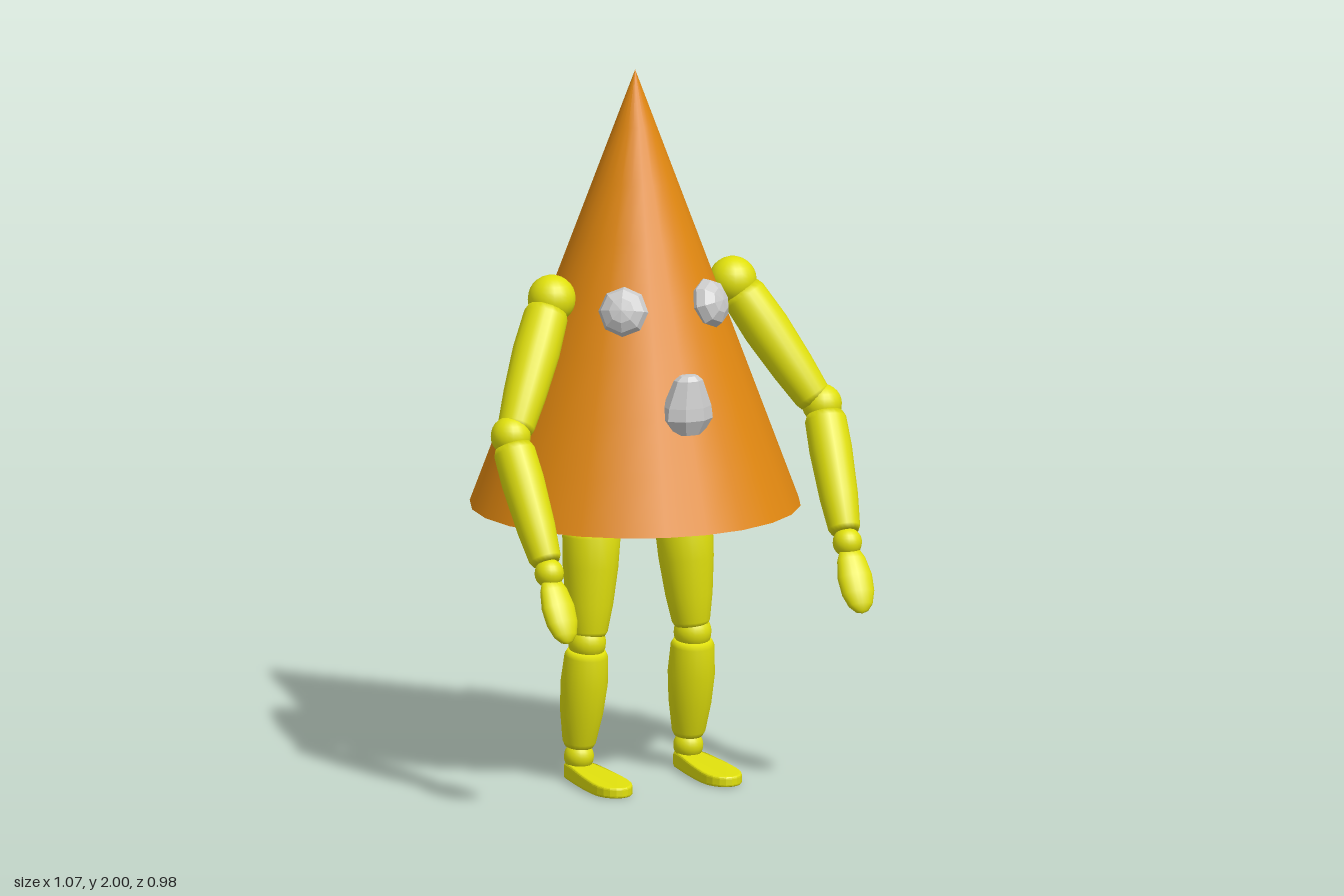
import * as THREE from 'three';

const orange = new THREE.MeshStandardMaterial({ color: 0xe28810 });
const yellow = new THREE.MeshStandardMaterial({ color: 0xe0e00c });
const grey = new THREE.MeshStandardMaterial({ color: 0xcccccc, flatShading: true });
const UP = new THREE.Vector3(0, 1, 0);

function add(parent, name, geometry, material, position = [0, 0, 0]) {
  const mesh = new THREE.Mesh(geometry, material);
  mesh.name = name;
  mesh.position.set(...position);
  parent.add(mesh);
  return mesh;
}

function ball(parent, name, radius, position) {
  return add(parent, name, new THREE.SphereGeometry(radius, 20, 14), yellow, position);
}

// Rounded limb from a to b; profile holds [radius, fraction along the limb]
function limb(parent, name, a, b, profile, depth = 1) {
  const start = new THREE.Vector3(...a);
  const dir = new THREE.Vector3(...b).sub(start);
  const length = dir.length();
  const points = profile.map(([r, t]) => new THREE.Vector2(r, t * length));
  const geometry = new THREE.LatheGeometry(points, 20);
  geometry.scale(1, 1, depth);
  const mesh = add(parent, name, geometry, yellow, a);
  mesh.quaternion.setFromUnitVectors(UP, dir.normalize());
  return mesh;
}

// Thin sole, rounded at heel and toe, sloping down towards the toe
function footGeometry() {
  const s = new THREE.Shape();
  s.moveTo(-0.03, 0.06);
  s.bezierCurveTo(-0.02, 0.075, 0.02, 0.075, 0.03, 0.06);
  s.bezierCurveTo(0.038, 0, 0.05, -0.08, 0.05, -0.16);
  s.bezierCurveTo(0.05, -0.26, -0.05, -0.26, -0.05, -0.16);
  s.bezierCurveTo(-0.05, -0.08, -0.038, 0, -0.03, 0.06);
  const g = new THREE.ExtrudeGeometry(s, {
    depth: 0.025, bevelThickness: 0.01, bevelSize: 0.006, bevelSegments: 3, curveSegments: 10,
  });
  g.rotateX(-Math.PI / 2);
  g.scale(1, 1, 1);
  const p = g.attributes.position;
  for (let i = 0; i < p.count; i++) {
    const z = p.getZ(i);
    p.setY(i, (p.getY(i) + 0.01) * (1 - 0.35 * THREE.MathUtils.clamp(z / 0.24, 0, 1)));
  }
  g.computeVertexNormals();
  return g;
}

function arm(side) {
  const g = new THREE.Group();
  g.name = side > 0 ? 'leftArm' : 'rightArm';
  const at = (x, y, z) => [side * x, y, z];
  ball(g, 'shoulder', 0.067, at(0.278, 1.385, 0.015));
  limb(g, 'upperArm', at(0.295, 1.36, 0.025), at(0.462, 1.055, 0.163),
    [[0, 0], [0.055, 0.01], [0.062, 0.06], [0.066, 0.35], [0.06, 0.7], [0.052, 0.95], [0.046, 1], [0, 1]]);
  ball(g, 'elbow', 0.056, at(0.478, 1.045, 0.17));
  limb(g, 'forearm', at(0.479, 1.02, 0.185), at(0.459, 0.72, 0.358),
    [[0, 0], [0.05, 0], [0.058, 0.05], [0.06, 0.3], [0.054, 0.7], [0.045, 0.96], [0.038, 1], [0, 1]]);
  ball(g, 'wrist', 0.041, at(0.458, 0.695, 0.375));
  limb(g, 'hand', at(0.458, 0.675, 0.387), at(0.453, 0.515, 0.483),
    [[0, 0], [0.03, 0.02], [0.041, 0.15], [0.05, 0.42], [0.047, 0.68], [0.035, 0.87], [0.018, 0.97], [0, 1]], 0.62);
  return g;
}

function leg(side) {
  const g = new THREE.Group();
  g.name = side > 0 ? 'leftLeg' : 'rightLeg';
  const at = (x, y, z) => [side * x, y, z];
  ball(g, 'hip', 0.07, at(0.138, 0.75, -0.02));
  limb(g, 'thigh', at(0.141, 0.71, -0.015), at(0.158, 0.415, 0),
    [[0, 0], [0.07, 0], [0.081, 0.06], [0.077, 0.35], [0.066, 0.7], [0.053, 0.96], [0.046, 1], [0, 1]]);
  ball(g, 'knee', 0.053, at(0.162, 0.395, 0));
  limb(g, 'calf', at(0.163, 0.375, 0), at(0.168, 0.095, -0.04),
    [[0, 0], [0.052, 0], [0.061, 0.06], [0.066, 0.35], [0.06, 0.65], [0.047, 0.95], [0.04, 1], [0, 1]]);
  ball(g, 'ankle', 0.042, at(0.168, 0.065, -0.04));
  add(g, 'foot', footGeometry(), yellow, at(0.168, 0, 0));
  return g;
}

export function createModel() {
  const model = new THREE.Group();

  // Cone body with a closed underside
  add(model, 'coneBody', new THREE.ConeGeometry(0.46, 1.23, 24, 8), orange, [0, 1.385, -0.03]);

  for (const side of [1, -1]) {
    model.add(arm(side), leg(side));

    // Flattened faceted eye facing out from the cone
    const geometry = new THREE.SphereGeometry(0.07, 8, 6);
    geometry.rotateX(Math.PI / 2);
    geometry.scale(1, 1, 0.65);
    const eye = add(model, side > 0 ? 'leftEye' : 'rightEye', geometry, grey, [side * 0.133, 1.365, 0.172]);
    eye.rotation.set(-0.3, side * 0.58, 0, 'YXZ');
  }

  // Pear-shaped faceted nose, upright at the front
  const profile = [[0, -0.085], [0.045, -0.078], [0.071, -0.035], [0.067, 0], [0.04, 0.075], [0.025, 0.088], [0, 0.09]];
  const nose = new THREE.LatheGeometry(profile.map(([x, y]) => new THREE.Vector2(x, y)), 8, Math.PI / 8);
  nose.scale(1.05, 1, 0.8);
  const p = nose.attributes.position;
  for (let i = 0; i < p.count; i++) p.setZ(i, p.getZ(i) + 0.12 * Math.max(0, p.getY(i)));
  add(model, 'nose', nose, grey, [0, 1.112, 0.303]);

  return model;
}
